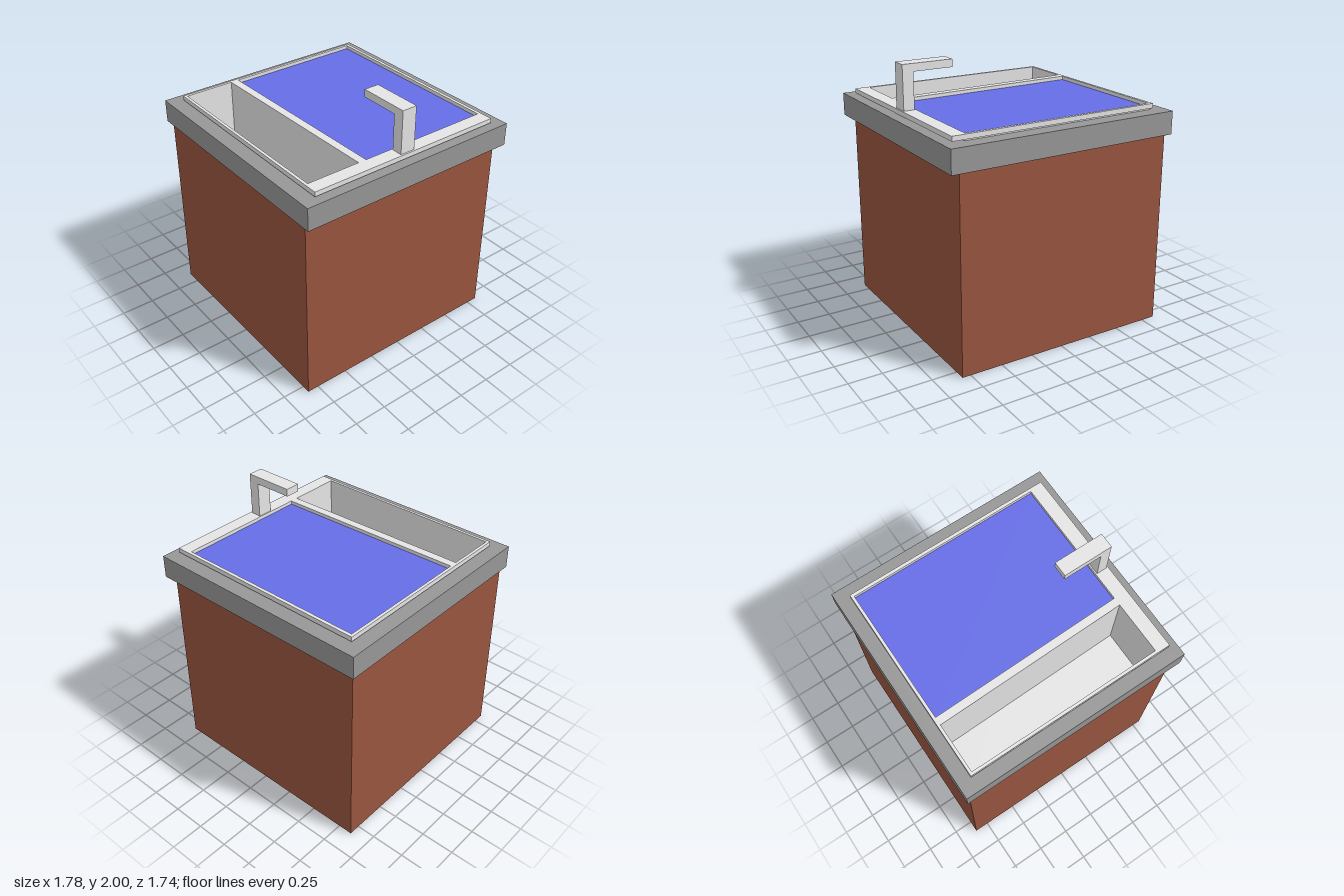
import * as THREE from 'three';

const mat = (name, color) => Object.assign(new THREE.MeshStandardMaterial({ color }), { name });

// Rectangle corners seen from above, as [x, z]
const rect = (x0, x1, z0, z1) => [[x0, z0], [x1, z0], [x1, z1], [x0, z1]];
const toPoints = (pts) => pts.map(([x, z]) => new THREE.Vector2(x, -z));

// Horizontal slab between heights y0 and y1; holes wind opposite to the outline
function slab(outline, holes, y0, y1) {
  const shape = new THREE.Shape(toPoints(outline));
  shape.holes = holes.map((h) => new THREE.Path(toPoints(h).reverse()));
  const geo = new THREE.ExtrudeGeometry(shape, { depth: y1 - y0, bevelEnabled: false });
  return geo.rotateX(-Math.PI / 2).translate(0, y0, 0);
}

export function createModel() {
  const brick = mat('brown cabinet', 0x99553f);
  const stone = mat('grey counter', 0x979797);
  const steel = mat('light grey steel', 0xe5e5e5);
  const blue = mat('blue water', 0x666de6);

  const model = new THREE.Group();
  model.name = 'sinkCabinet';
  const add = (name, geo, material) => {
    const mesh = new THREE.Mesh(geo, material);
    mesh.name = name;
    model.add(mesh);
  };

  // Basin openings, with a slightly skewed divider between them
  const washHole = [[-0.768, -0.745], [0.72, -0.745], [0.72, 0.275], [-0.768, 0.305]];
  const troughHole = [[-0.768, 0.367], [0.72, 0.337], [0.72, 0.743], [-0.768, 0.743]];
  const basinOutline = rect(-0.778, 0.73, -0.755, 0.75);
  const basinFloor = 1.1;

  // Cabinet: box open at the top, where the basin drops in
  const box = new THREE.BoxGeometry(1.67, 1.46, 1.67).translate(-0.022, 0.73, 0);
  const index = Array.from(box.index.array);
  index.splice(12, 6);
  box.setIndex(index);
  box.clearGroups();
  add('cabinet', box, brick);

  // Counter with the sink cut-out, and its brown underside
  const counterOutline = rect(-0.89, 0.887, -0.87, 0.866);
  add('counter', slab(counterOutline, [basinOutline], 1.462, 1.63), stone);
  add('counterUnderside', slab(counterOutline, [basinOutline], 1.459, 1.462), brick);

  // Sink: raised rim, basin walls, floor
  const holes = [washHole, troughHole];
  add('sinkRim', slab(rect(-0.79, 0.825, -0.77, 0.765), holes, 1.642, 1.677), steel);
  add('basinWalls', slab(basinOutline, holes, basinFloor, 1.642), steel);
  add('basinFloor', slab(basinOutline, [], basinFloor - 0.02, basinFloor), steel);

  // Water filling the large basin
  add('water', slab(washHole, [], 1.643, 1.65), blue);

  // Faucet: one L-shaped extrusion
  const profile = [[0.73, 1.677], [0.812, 1.677], [0.812, 2], [0.43, 2], [0.43, 1.943], [0.73, 1.943]];
  const faucet = new THREE.ExtrudeGeometry(
    new THREE.Shape(profile.map(([x, y]) => new THREE.Vector2(x, y))),
    { depth: 0.115, bevelEnabled: false },
  ).translate(0, 0, -0.058);
  add('faucet', faucet, steel);

  return model;
}
